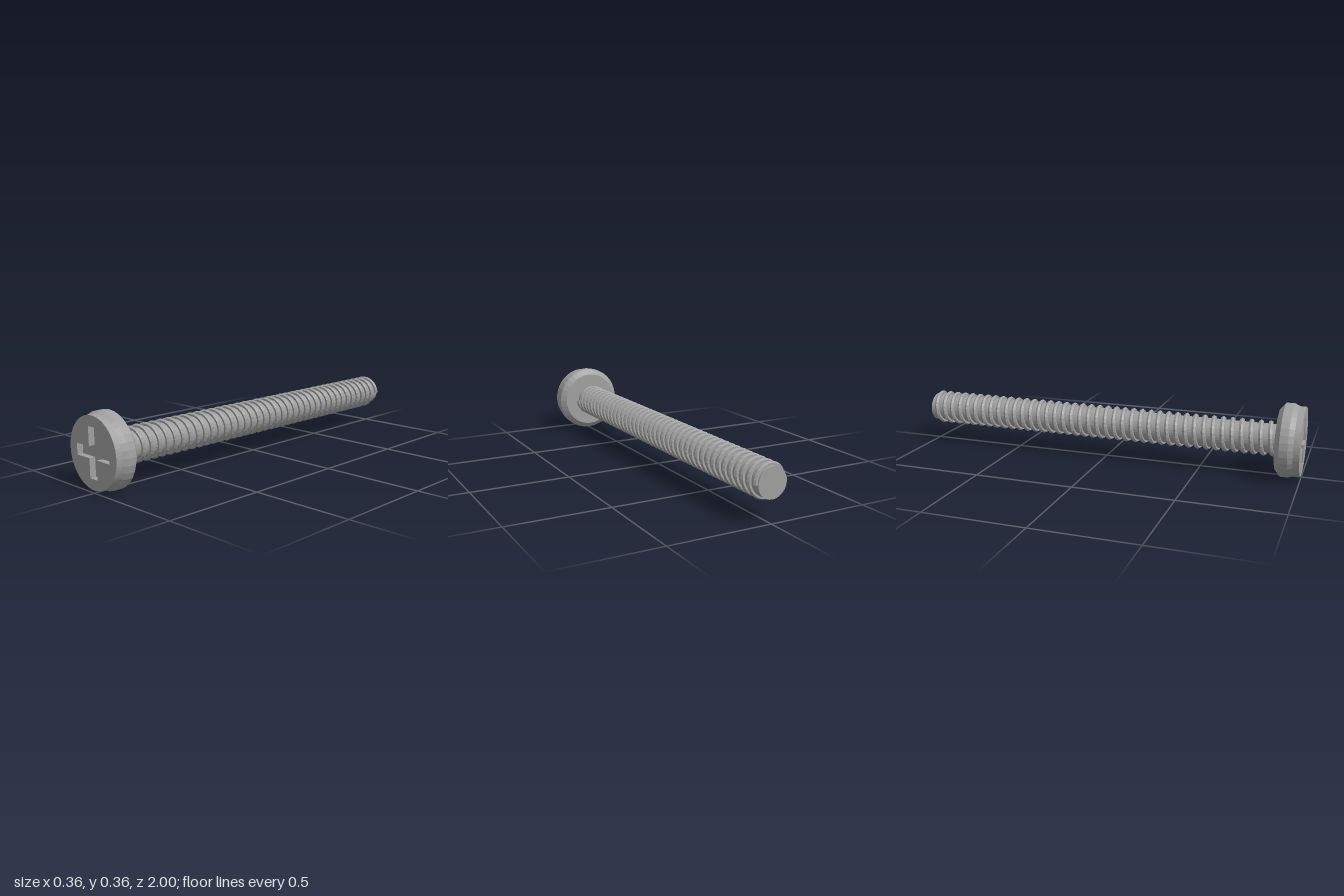
import * as THREE from 'three';

const SIDES = 32;
const AXIS_Y = 0.182;

// Facet a geometry so every face is shaded flat
function faceted(geometry) {
  const g = geometry.index ? geometry.toNonIndexed() : geometry;
  g.computeVertexNormals();
  return g;
}

// Helical ridge: a small hexagonal section swept backwards along the shaft
function threadGeometry({ radius, section, pitch, turns, startZ }) {
  const steps = 24 * turns, n = 6;
  const positions = [], indices = [];
  for (let i = 0; i <= steps; i++) {
    const t = i / 24, angle = -2 * Math.PI * t;
    for (let j = 0; j < n; j++) {
      const phi = (j / n) * 2 * Math.PI;
      const r = radius + section * Math.cos(phi);
      positions.push(r * Math.cos(angle), r * Math.sin(angle), startZ - pitch * t + section * Math.sin(phi));
    }
  }
  for (let i = 0; i < steps; i++) {
    for (let j = 0; j < n; j++) {
      const a = i * n + j, b = i * n + (j + 1) % n;
      indices.push(a, b, a + n, b, b + n, a + n);
    }
  }
  // End caps
  const last = steps * n;
  for (let j = 1; j < n - 1; j++) {
    indices.push(0, j + 1, j, last, last + j, last + j + 1);
  }
  const g = new THREE.BufferGeometry();
  g.setAttribute('position', new THREE.Float32BufferAttribute(positions, 3));
  g.setIndex(indices);
  return g;
}

export function createModel() {
  const model = new THREE.Group();
  model.name = 'screw';
  const steel = new THREE.MeshStandardMaterial({ color: 0xa0a0a0 });
  steel.name = 'steel grey';

  const add = (name, geometry) => {
    const mesh = new THREE.Mesh(faceted(geometry), steel);
    mesh.name = name;
    mesh.position.y = AXIS_Y;
    model.add(mesh);
  };

  // Head: bevelled rim, closed at the front by the floor of the recess
  const profile = [[0, 0.88], [0.152, 0.88], [0.18, 0.905], [0.18, 0.945], [0.168, 0.97], [0, 0.97]]
    .map(([r, z]) => new THREE.Vector2(r, z));
  add('head', new THREE.LatheGeometry(profile, SIDES).rotateX(Math.PI / 2));

  // Front disc with the cross-shaped drive recess cut through it
  const disc = new THREE.Shape().absarc(0, 0, 0.168, 0, 2 * Math.PI, false);
  const w = 0.027, l = 0.117;
  const cross = [[w, w], [l, w], [l, -w], [w, -w], [w, -l], [-w, -l],
    [-w, -w], [-l, -w], [-l, w], [-w, w], [-w, l], [w, l]];
  disc.holes.push(new THREE.Path(cross.map(([x, y]) => new THREE.Vector2(x, y))));
  const face = new THREE.ExtrudeGeometry(disc, { depth: 0.03, bevelEnabled: false, curveSegments: SIDES });
  add('headFace', face.translate(0, 0, 0.97));

  // Shaft
  const shaft = new THREE.CylinderGeometry(0.072, 0.072, 1.89, SIDES);
  add('shaft', shaft.rotateX(Math.PI / 2).translate(0, 0, -0.055));

  // Right-handed thread
  add('thread', threadGeometry({ radius: 0.076, section: 0.012, pitch: 0.0465, turns: 40, startZ: 0.875 }));

  return model;
}
